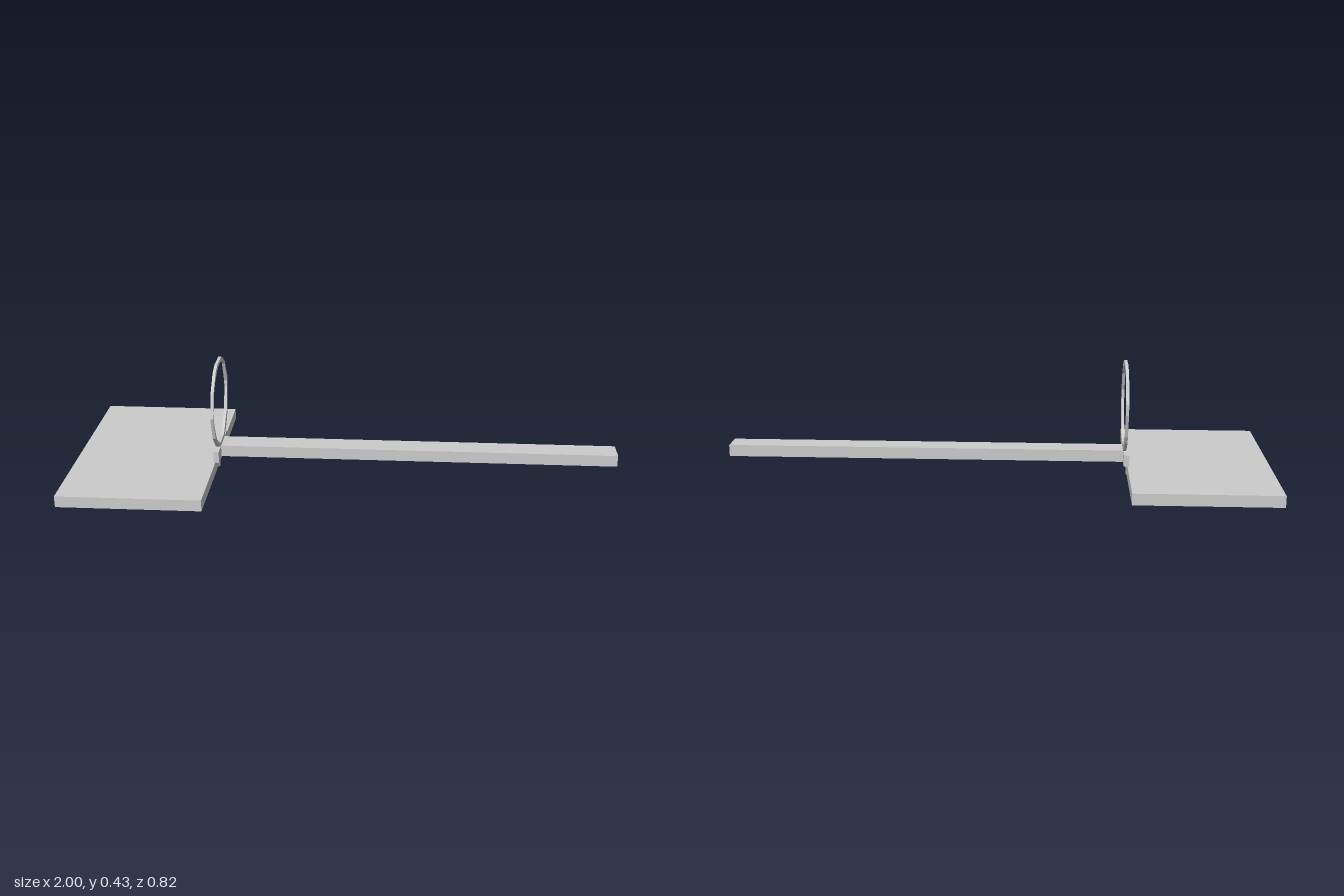
import * as THREE from 'three';

const material = new THREE.MeshStandardMaterial({ color: 0xcccccc, flatShading: true });

function add(group, name, geometry, x = 0, y = 0, z = 0) {
  const mesh = new THREE.Mesh(geometry, material);
  mesh.name = name;
  mesh.position.set(x, y, z);
  group.add(mesh);
  return mesh;
}

// Box given by its limits on each axis
function addBox(group, name, [x0, x1], [y0, y1], [z0, z1]) {
  return add(group, name, new THREE.BoxGeometry(x1 - x0, y1 - y0, z1 - z0),
    (x0 + x1) / 2, (y0 + y1) / 2, (z0 + z1) / 2);
}

const toPoints = (list) => list.map(([z, y]) => new THREE.Vector2(z, y));

export function createModel() {
  const model = new THREE.Group();
  model.name = 'plateWithArm';

  // Flat plate, short crossbar on its edge, long arm
  addBox(model, 'plate', [-1, -0.481], [0.018, 0.06], [-0.408, 0.408]);
  addBox(model, 'crossbar', [-0.487, -0.467], [0.06, 0.103], [-0.102, 0.102]);
  addBox(model, 'arm', [-0.467, 1], [0.06, 0.103], [-0.043, 0.043]);

  // Six-sided peg under the plate edge
  const peg = add(model, 'peg', new THREE.CylinderGeometry(0.0175, 0.0175, 0.018, 6), -0.498, 0.009, 0);
  peg.rotation.y = Math.PI / 2;

  // Thin, slightly uneven hoop standing on the crossbar, as (z, y) outlines
  const outer = [
    [0.044, 0.425], [-0.044, 0.425], [-0.074, 0.41], [-0.117, 0.38], [-0.131, 0.351],
    [-0.16, 0.307], [-0.16, 0.267], [-0.131, 0.178], [-0.116, 0.152], [-0.074, 0.119],
    [-0.044, 0.103], [0.044, 0.103], [0.088, 0.119], [0.147, 0.178], [0.175, 0.266],
    [0.147, 0.353], [0.088, 0.41],
  ];
  const inner = [
    [0.031, 0.412], [-0.029, 0.412], [-0.084, 0.398], [-0.115, 0.371], [-0.147, 0.29],
    [-0.147, 0.266], [-0.118, 0.18], [-0.101, 0.172], [-0.031, 0.118], [0.031, 0.118],
    [0.059, 0.12], [0.118, 0.163], [0.144, 0.204], [0.162, 0.248], [0.162, 0.284],
    [0.133, 0.353], [0.103, 0.382],
  ];
  const shape = new THREE.Shape(toPoints(outer));
  shape.holes.push(new THREE.Path(toPoints(inner)));
  const hoop = add(model, 'hoop',
    new THREE.ExtrudeGeometry(shape, { depth: 0.011, bevelEnabled: false }), -0.467, 0, 0);
  hoop.rotation.y = -Math.PI / 2;

  return model;
}
